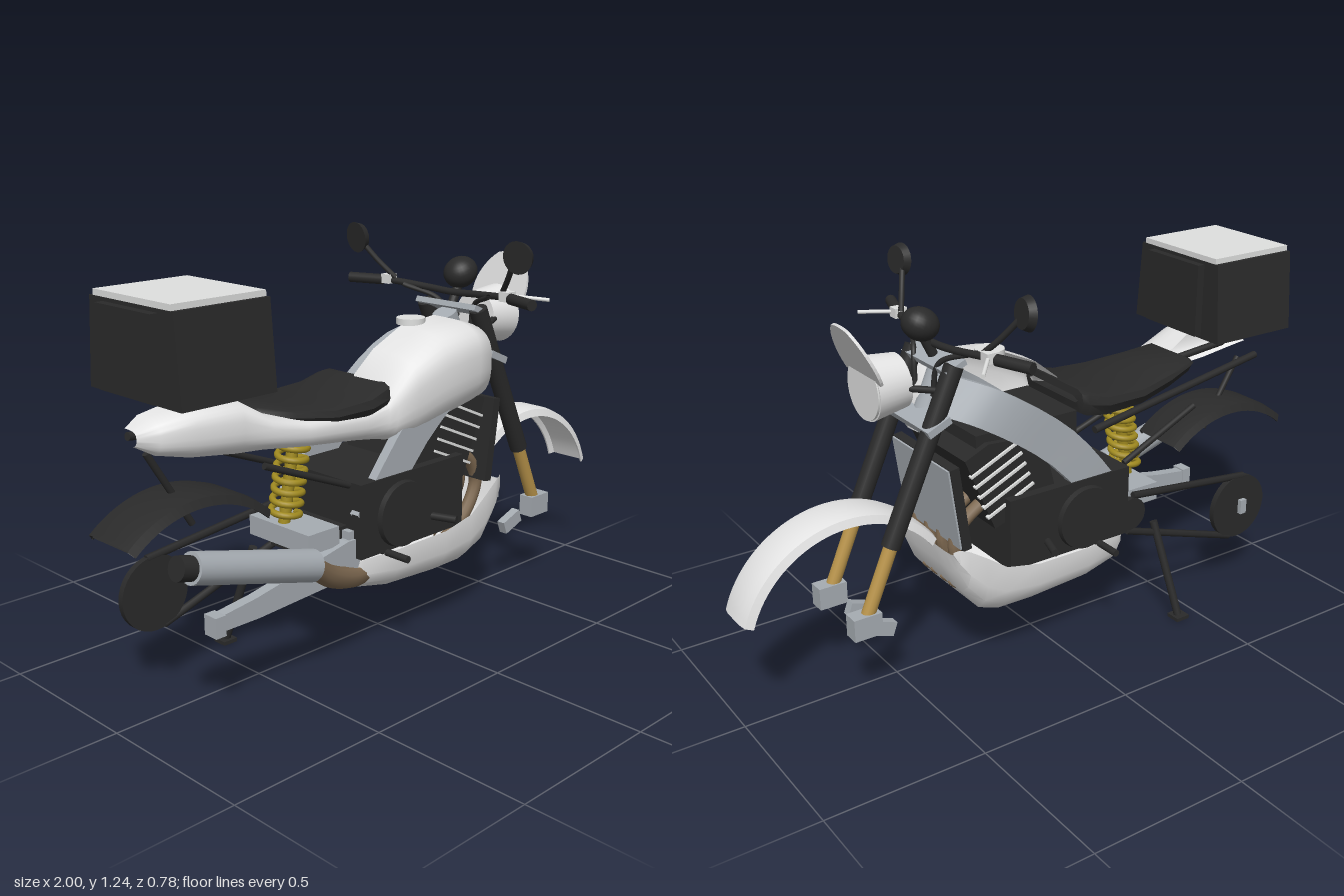
import * as THREE from 'three';
import { toCreasedNormals } from 'three/addons/utils/BufferGeometryUtils.js';

const V = (x, y, z) => new THREE.Vector3(x, y, z);
const mat = (name, color, side = THREE.FrontSide) => {
  const m = new THREE.MeshStandardMaterial({ color, side });
  m.name = name;
  return m;
};

export function createModel() {
  const root = new THREE.Group();
  root.name = 'motorcycle';
  const white = mat('white paint', 0xe4e4e4, THREE.DoubleSide);
  const black = mat('black', 0x2a2a2a, THREE.DoubleSide);
  const grey = mat('grey metal', 0xa6acb2, THREE.DoubleSide);
  const gold = mat('gold fork', 0xb8934a);
  const brown = mat('burnt pipe', 0x7d6850);
  const yellow = mat('spring yellow', 0xa08a20);
  const screenGrey = mat('screen grey', 0xd6d6d6, THREE.DoubleSide);
  const lidGrey = mat('lid grey', 0xdfe0df);

  const add = (name, geo, m, p = [0, 0, 0], r = [0, 0, 0]) => {
    const mesh = new THREE.Mesh(geo, m);
    mesh.name = name;
    mesh.position.set(...p);
    mesh.rotation.set(...r);
    root.add(mesh);
    return mesh;
  };
  const box = (name, size, m, p, r) => add(name, new THREE.BoxGeometry(...size), m, p, r);
  // Round rod between two points
  const rod = (name, a, b, r0, m, r1 = r0, seg = 16) => {
    const A = V(...a), B = V(...b), d = B.clone().sub(A);
    const mesh = add(name, new THREE.CylinderGeometry(r1, r0, d.length(), seg), m);
    mesh.position.copy(A).add(B).multiplyScalar(0.5);
    mesh.quaternion.setFromUnitVectors(V(0, 1, 0), d.normalize());
    return mesh;
  };
  const tube = (name, pts, r, m, seg = 24) => add(name, new THREE.TubeGeometry(
    new THREE.CatmullRomCurve3(pts.map(p => V(...p))), seg, r, 10), m);
  // Side profile extruded across z
  const plate = (name, pts, depth, m, z = 0) => {
    const s = new THREE.Shape(pts.map(p => new THREE.Vector2(...p)));
    return add(name, new THREE.ExtrudeGeometry(s, { depth, bevelEnabled: false }), m, [0, 0, z - depth / 2]);
  };
  // Skin over equal-length cross-sections, sharp above the crease angle
  const loft = (name, rings, m, crease = 0.7) => {
    const n = rings[0].length, idx = [];
    for (let i = 0; i < rings.length - 1; i++) for (let j = 0; j < n - 1; j++) {
      const a = i * n + j, b = a + n;
      idx.push(a, b, a + 1, b, b + 1, a + 1);
    }
    const g = new THREE.BufferGeometry();
    g.setAttribute('position', new THREE.Float32BufferAttribute(rings.flat(2), 3));
    g.setIndex(idx);
    return add(name, toCreasedNormals(g, crease), m);
  };
  // Crowned guard around a wheel centre
  const guard = (name, cx, cy, r, a0, a1, w, m) => {
    const section = [[-.5, -.03], [-.44, -.006], [-.25, 0], [.25, 0], [.44, -.006], [.5, -.03], [.46, -.03],
      [.4, -.014], [-.4, -.014], [-.46, -.03], [-.5, -.03]];
    const rings = [];
    for (let i = 0; i <= 32; i++) {
      const a = a0 + (a1 - a0) * i / 32;
      rings.push(section.map(([z, d]) => [cx + Math.cos(a) * (r + d), cy + Math.sin(a) * (r + d), z * w]));
    }
    loft(name, rings, m, 0.5);
  };

  // Tank and tail half shell: x, top, bottom, half width
  const shell = [[-.92, .84, .80, .05], [-.88, .868, .78, .1], [-.78, .885, .76, .125], [-.64, .89, .745, .145],
    [-.55, .835, .735, .155], [-.42, .80, .715, .16], [-.2, .79, .69, .16], [-.115, .81, .68, .165], [-.1, .845, .68, .185],
    [-.02, .91, .68, .195], [.1, .965, .71, .205], [.25, .978, .735, .2], [.33, .955, .74, .175], [.38, .90, .77, .13], [.395, .85, .81, .05]];
  loft('tankAndTailShell', shell.map(([x, t, b, w]) => {
    const ring = [], mid = b + (t - b) * 0.5;
    for (let i = 0; i <= 14; i++) {
      const a = Math.PI / 2 - i / 14 * 2.6, c = Math.cos(a), s = Math.sin(a);
      ring.push([x, mid + (t - mid) * Math.sign(s) * Math.abs(s) ** 0.7 * (s < 0 ? 1.3 : 1), w * Math.abs(c) ** 0.6]);
    }
    return ring;
  }), white, 1);
  add('fuelCap', new THREE.CylinderGeometry(.045, .045, .02, 24), lidGrey, [.145, .975, 0]);

  // Seat: x, top, bottom, half width
  const seat = [[-.575, .83, .82, .095], [-.55, .842, .80, .11], [-.45, .826, .775, .135], [-.32, .812, .755, .162],
    [-.18, .818, .75, .165], [-.11, .838, .76, .16], [-.09, .842, .77, .15], [-.085, .82, .80, .13]];
  loft('seat', seat.map(([x, t, b, w]) => [[b, 0], [b, w * .9], [(t + b) / 2, w], [t - .01, w * .95], [t, w * .8], [t, 0],
    [t, -w * .8], [t - .01, -w * .95], [(t + b) / 2, -w], [b, -w * .9], [b, 0]].map(([y, z]) => [x, y, z])), black);

  // Top box, narrower at the lid
  const bodyGeo = new THREE.BoxGeometry(.31, .25, .4);
  const bp = bodyGeo.attributes.position;
  for (let i = 0; i < bp.count; i++) if (bp.getY(i) > 0) bp.setZ(i, bp.getZ(i) * .9);
  bodyGeo.computeVertexNormals();
  add('topBox', bodyGeo, black, [-.73, 1.035, 0]);
  box('topBoxEndPanel', [.36, .23, .24], black, [-.73, 1.035, 0]);
  box('topBoxLid', [.305, .018, .335], lidGrey, [-.73, 1.168, 0]);

  // Wheel guards
  guard('rearGuard', -.755, .27, .368, .84, 2.28, .2, black);
  guard('frontGuard', .665, .252, .354, .31, 2.52, .15, white);
  rod('rearGuardStay', [-.86, .76, 0], [-.72, .53, 0], .01, black);

  // Engine
  plate('crankcase', [[-.25, .34], [.195, .34], [.195, .57], [-.25, .57]], .36, black);
  box('gearbox', [.1, .1, .24], black, [-.29, .385, 0]);
  plate('cylinderBlock', [[.01, .55], [.23, .48], [.33, .72], [.25, .755], [.06, .74]], .3, black);
  box('airbox', [.36, .1, .26], black, [.1, .73, 0]);
  for (const s of [1, -1]) {
    rod('engineCover', [-.08, .445, s * .17], [-.08, .445, s * .197], .105, black, .1, 32);
    for (let i = 0; i < 5; i++)
      box('coolingFin', [.18, .008, .014], lidGrey, [.232 - i * .014, .703 - i * .036, s * .15], [0, 0, -.42]);
    rod('footpeg', [-.14, .335, s * .15], [-.14, .335, s * .265], .011, black);
    rod('footLever', [.05, .4, s * .15], [.085, .4, s * .255], .012, black);
  }
  // Radiator
  box('radiator', [.03, .27, .33], black, [.355, .58, 0], [0, 0, -.14]);
  box('radiatorCore', [.006, .26, .32], grey, [.373, .58, 0], [0, 0, -.14]);

  // Belly pan: x, rim, bottom, half width
  const pan = [[-.25, .32, .319, .15], [-.25, .32, .28, .15], [-.22, .33, .23, .165], [-.1, .335, .208, .185], [.1, .345, .203, .2],
    [.22, .37, .205, .2], [.29, .42, .23, .2], [.345, .455, .3, .195], [.375, .465, .375, .185], [.388, .455, .44, .17]];
  loft('bellyPan', pan.map(([x, t, b, w]) => {
    const h = [[t, w], [b + (t - b) * .5, w], [b + (t - b) * .2, w * .9], [b, w * .72], [b, w * .35]];
    return [...h, ...h.map(([y, z]) => [y, -z]).reverse()].map(([y, z]) => [x, y, z]);
  }), white);
  // Vent openings with the pipes showing through
  for (const z of [-.075, -.028, .028, .075])
    add('panVent', new THREE.SphereGeometry(.02, 8, 6), brown, [.333, .29, z], [0, 0, -.85]).scale.set(.4, 1.3, .4);

  // Exhaust
  for (const z of [-.105, -.035, .035, .105])
    tube('headerPipe', [[.24, .56, z], [.32, .5, z], [.345, .43, z], [.29, .33, z], [.2, .27, z]], .021, brown);
  tube('linkPipe', [[-.2, .275, .13], [-.27, .285, .15], [-.38, .33, .18], [-.47, .395, .2]], .033, brown);
  rod('silencer', [-.46, .39, .2], [-.89, .508, .215], .047, grey, .044, 24);
  rod('silencerTip', [-.88, .505, .215], [-.935, .52, .216], .034, black, .034, 20);

  // Frame
  for (const s of [1, -1]) {
    const path = new THREE.CatmullRomCurve3([V(.34, .9, s * .06), V(.24, .86, s * .14), V(0, .69, s * .158), V(-.22, .43, s * .158)]);
    const section = [[-.038, .048, .016], [-.038, .048, -.016], [.038, -.048, -.016], [.038, -.048, .016], [-.038, .048, .016]];
    loft('frameBeam', path.getPoints(12).map(p => section.map(([a, b, c]) => [p.x + a, p.y + b, p.z + c])), grey);
    rod('subframeStrut', [-.56, .685, s * .12], [-.26, .565, s * .14], .01, black);
    rod('seatRail', [-.86, .79, s * .08], [-.15, .70, s * .13], .012, black);
  }
  rod('steeringHead', [.30, .98, 0], [.385, .79, 0], .04, grey);

  // Swingarm and rear drive
  plate('swingarm', [[-.77, .268], [-.62, .268], [-.25, .29], [-.2, .4], [-.28, .4], [-.45, .365], [-.63, .33], [-.77, .312]], .035, grey, .14);
  box('swingarmEnd', [.035, .06, .05], grey, [-.765, .29, .145]);
  box('swingarmBridge', [.12, .06, .26], grey, [-.36, .42, .01]);
  box('swingarmPivot', [.06, .09, .3], grey, [-.24, .38, 0]);
  rod('rearSprocket', [-.75, .29, -.165], [-.75, .29, -.145], .113, black, .113, 32);
  box('axleAdjuster', [.025, .05, .02], grey, [-.76, .29, -.17]);
  rod('frontSprocket', [-.28, .39, -.165], [-.28, .39, -.145], .055, black);
  for (const [a, b] of [[[-.77, .397], [-.29, .45]], [[-.72, .183], [-.27, .33]]])
    rod('chainRun', [...a, -.155], [...b, -.155], .012, black, .012, 6);

  // Shock absorber
  const coil = [];
  for (let i = 0; i <= 112; i++) {
    const t = i / 112, a = t * Math.PI * 14;
    coil.push([-.385 + t * .04 + Math.cos(a) * .043, .47 + t * .225, Math.sin(a) * .043]);
  }
  tube('shockSpring', coil, .01, yellow, 200);
  rod('shockBody', [-.39, .44, 0], [-.342, .72, 0], .018, yellow);

  // Side stand
  rod('sideStand', [-.385, .33, -.15], [-.425, .015, -.245], .013, black);
  box('sideStandFoot', [.05, .012, .05], black, [-.428, .008, -.245]);

  // Forks
  for (const s of [1, -1]) {
    const z = s * .11;
    rod('forkUpper', [.335, 1.0, z], [.56, .5, z], .029, black);
    rod('forkLower', [.555, .51, z], [.65, .29, z], .021, gold);
    box('axleClamp', [.09, .07, .052], grey, [.655, .28, z]);
    box('caliper', [.085, .045, .03], grey, [.58, .222, s * .065], [0, 0, .35]);
  }
  box('lowerForkClamp', [.08, .022, .29], grey, [.405, .84, 0], [0, 0, -.42]);
  box('upperForkClamp', [.07, .018, .25], grey, [.335, .995, 0], [0, 0, -.42]);

  // Handlebar, levers and mirrors
  tube('handlebar', [[.26, 1.055, -.38], [.305, 1.055, -.24], [.335, 1.045, -.1], [.34, 1.04, 0], [.335, 1.045, .1],
    [.305, 1.055, .24], [.26, 1.055, .38]], .011, black, 40);
  for (const s of [1, -1]) {
    rod('grip', [.297, 1.055, s * .27], [.257, 1.055, s * .383], .017, black);
    box('leverClamp', [.04, .03, .035], lidGrey, [.305, 1.06, s * .25]);
    rod('lever', [.31, 1.062, s * .25], [.39, 1.05, s * .345], .006, lidGrey);
    tube('mirrorStalk', [[.31, 1.065, s * .225], [.28, 1.115, s * .27], [.25, 1.175, s * .315]], .009, black);
    add('mirror', new THREE.CylinderGeometry(.05, .042, .022, 24), black, [.25, 1.193, s * .336], [0, s * .12, Math.PI / 2 + .1]);
    tube('controlCable', [[.3, 1.05, s * .18], [.36, 1.0, s * .07], [.37, .9, s * .05]], .008, black);
  }

  // Gauge and headlight
  add('gauge', new THREE.SphereGeometry(.057, 24, 16), black, [.375, 1.1, 0], [0, 0, .45]).scale.set(1, .85, .95);
  rod('gaugeStem', [.335, 1.0, 0], [.375, 1.08, 0], .015, black);
  rod('headlight', [.45, .95, 0], [.56, .945, 0], .08, white, .095, 32);
  rod('headlightLens', [.556, .945, 0], [.565, .945, 0], .09, lidGrey, .09, 32);
  for (const s of [1, -1]) rod('headlightBracket', [.37, .93, s * .1], [.47, .95, s * .07], .01, black);

  // Small windscreen, leaning forward
  const sc = new THREE.Shape();
  sc.moveTo(-.1, 0);
  sc.bezierCurveTo(-.122, .04, -.105, .12, -.045, .165);
  sc.quadraticCurveTo(0, .178, .045, .165);
  sc.bezierCurveTo(.105, .12, .122, .04, .1, 0);
  const sg = new THREE.ExtrudeGeometry(sc, { depth: .009, bevelEnabled: false, curveSegments: 10 });
  sg.rotateY(Math.PI / 2);
  add('windscreen', sg, screenGrey, [.552, .985, 0], [0, 0, -.42]);

  return root;
}
